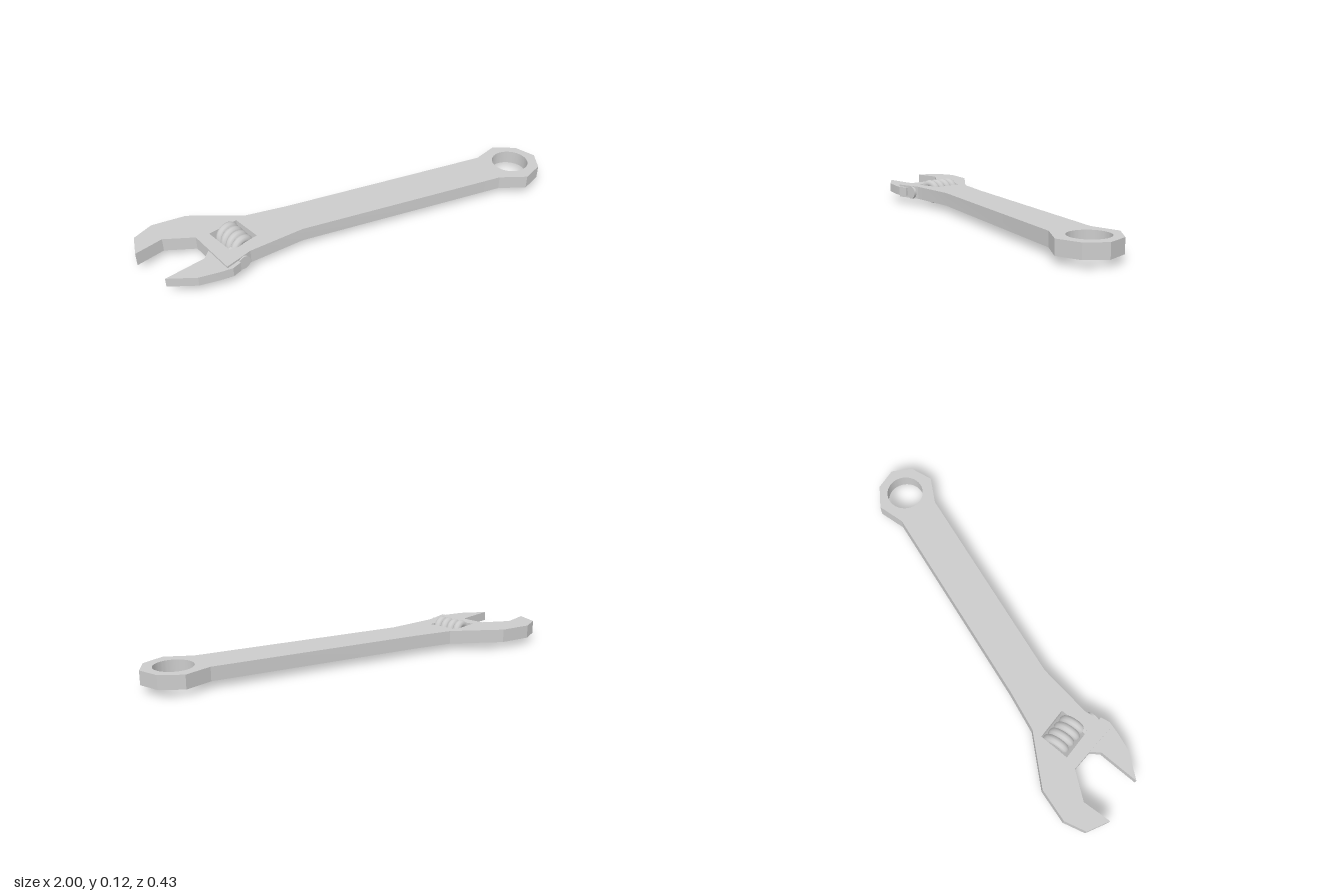
import * as THREE from 'three';
import { toCreasedNormals } from 'three/addons/utils/BufferGeometryUtils.js';

const steel = new THREE.MeshStandardMaterial({ color: 0xcccccc });
const BOTTOM = 0.033, TOP = 0.097;
const TILT = 0.25; // slant of the worm and its window

const points = (list) => list.map(([x, z]) => new THREE.Vector2(x, z));

// Flat plate from an outline in x and z, standing between two heights
function plate(name, shape, y0, y1) {
  const geometry = new THREE.ExtrudeGeometry(shape, { depth: y1 - y0, bevelEnabled: false, curveSegments: 40 });
  geometry.rotateX(Math.PI / 2).translate(0, y1, 0);
  const mesh = new THREE.Mesh(toCreasedNormals(geometry, 0.25), steel);
  mesh.name = name;
  return mesh;
}

// Screw path along +z
class Helix extends THREE.Curve {
  constructor(radius, pitch, turns) {
    super();
    Object.assign(this, { radius, pitch, turns });
  }
  getPoint(t, target = new THREE.Vector3()) {
    const s = (t - 0.5) * this.turns;
    const a = s * 2 * Math.PI - Math.PI / 2; // bottom at the middle of the path
    return target.set(this.radius * Math.cos(a), this.radius * Math.sin(a), s * this.pitch);
  }
}

export function createModel() {
  const group = new THREE.Group();
  group.name = 'adjustableWrench';

  // Handle, fixed jaw and ring end in one outline
  const body = new THREE.Shape(points([
    [-1, -0.05], [-0.98, -0.16], [-0.89, -0.215], [-0.73, -0.215], [-0.487, -0.1], [-0.29, -0.083],
    [0.73, -0.04], [0.855, -0.088], [0.957, -0.032], [1, 0.065], [0.957, 0.158], [0.855, 0.207],
    [0.73, 0.153], [-0.29, 0.105], [-0.55, 0.145], [-0.672, 0.2], [-0.735, -0.045], [-0.872, -0.097],
  ]));
  const ringHole = new THREE.Path();
  ringHole.absarc(0.857, 0.057, 0.088, 0, Math.PI * 2, true);
  const window_ = new THREE.Path(points([[-0.674, -0.045], [-0.535, -0.085], [-0.489, 0.06], [-0.628, 0.1]]));
  body.holes.push(ringHole, window_);
  group.add(plate('body', body, BOTTOM, TOP));

  // Thinner sliding jaw, its root buried in the head
  const jaw = new THREE.Shape(points([
    [-0.925, 0.15], [-0.74, 0.097], [-0.705, 0.05], [-0.66, 0.045],
    [-0.61, 0.19], [-0.65, 0.21], [-0.71, 0.21], [-0.8, 0.203],
  ]));
  group.add(plate('slidingJaw', jaw, 0.044, 0.088));

  // Round slide of the jaw, just showing at the edge and underside of the head
  const slide = new THREE.Mesh(new THREE.CylinderGeometry(0.032, 0.032, 0.095, 24), steel);
  slide.name = 'jawSlide';
  slide.geometry.rotateX(Math.PI / 2);
  slide.position.set(-0.6, 0.063, 0.125);
  slide.rotation.y = TILT;
  group.add(slide);

  // Worm screw: thread wound on a core
  const worm = new THREE.Group();
  worm.name = 'wormScrew';
  worm.position.set(-0.578, 0.0635, 0.012);
  worm.rotation.y = TILT;
  const thread = new THREE.Mesh(
    new THREE.TubeGeometry(new Helix(0.043, 0.0385, 3.6), 100, 0.0195, 10), steel);
  thread.name = 'wormThread';
  const core = new THREE.Mesh(new THREE.CylinderGeometry(0.043, 0.043, 0.135, 24), steel);
  core.name = 'wormCore';
  core.geometry.rotateX(Math.PI / 2);
  worm.add(thread, core);
  // Rounded closures for the thread ends
  for (const t of [0, 1]) {
    const cap = new THREE.Mesh(new THREE.SphereGeometry(0.0195, 12, 8), steel);
    cap.name = 'threadEnd';
    cap.position.copy(thread.geometry.parameters.path.getPoint(t));
    worm.add(cap);
  }
  group.add(worm);

  return group;
}
